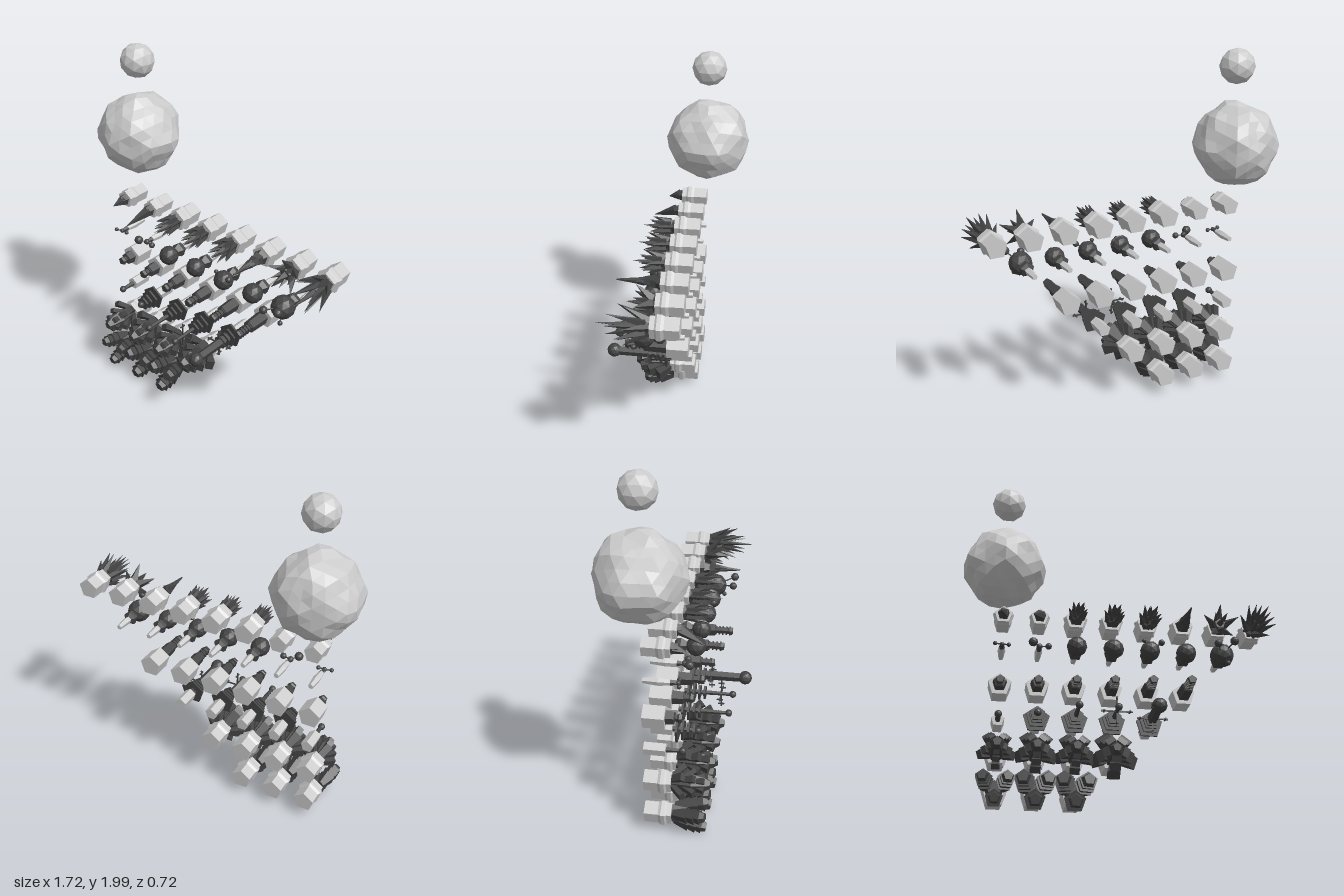
import * as THREE from 'three';

const grey = new THREE.MeshStandardMaterial({ color: 0xcccccc, flatShading: true });
const dark = new THREE.MeshStandardMaterial({ color: 0x444444, flatShading: true });
const TAU = Math.PI * 2;

function add(parent, name, geometry, material) {
  const mesh = new THREE.Mesh(geometry, material);
  mesh.name = name;
  parent.add(mesh);
  return mesh;
}

// Five-sided frustum along z, one corner up
function frustum(r0, r1, z0, z1, sides = 5) {
  const g = new THREE.CylinderGeometry(r1, r0, z1 - z0, sides, 1, false, Math.PI);
  return g.rotateX(Math.PI / 2).translate(0, 0, (z0 + z1) / 2);
}

// Stack of frustums through [radius, z] pairs
function stack(parent, name, material, profile) {
  for (let i = 1; i < profile.length; i++) {
    const [[r0, z0], [r1, z1]] = [profile[i - 1], profile[i]];
    if (z1 > z0) add(parent, name, frustum(r0, r1, z0, z1), material);
  }
}

function ball(parent, name, x, y, z, r, detail = 1) {
  add(parent, name, new THREE.IcosahedronGeometry(r, detail).translate(x, y, z), dark);
}

// Ring of spikes leaning outward from the z axis
function spikeRing(parent, count, start, tilt, ringR, z, r, length) {
  for (let i = 0; i < count; i++) {
    const g = frustum(r, 0.001, 0, length, 4);
    g.rotateY(tilt).translate(ringR, 0, z).rotateZ(start + (i * TAU) / count);
    add(parent, 'spike', g, dark);
  }
}

function collarBase(parent, s = 1) {
  stack(parent, 'base', grey, [[0.06 * s, -0.11], [0.06 * s, -0.035], [0.07 * s, -0.02],
    [0.07 * s, 0], [0.06 * s, 0.01], [0.06 * s, 0.035]]);
}

// Thin rod between two points
function rod(parent, a, b, r) {
  const path = new THREE.LineCurve3(new THREE.Vector3(...a), new THREE.Vector3(...b));
  add(parent, 'rod', new THREE.TubeGeometry(path, 1, r, 5), dark);
}

// Row of thorned pods
function thornPod(g, i) {
  collarBase(g, i < 2 ? 0.85 : 1);
  const up = Math.PI / 2;
  if (i < 2) {
    // Bent horn
    const len = i ? 0.15 : 0.07;
    add(g, 'hornRoot', frustum(0.035, 0.025, 0.03, 0.07), dark);
    const horn = frustum(0.033, 0.002, 0, len).rotateY(i ? 0.5 : 0.3).rotateZ(up * 2.6);
    add(g, 'horn', horn.translate(0, 0, 0.05), dark);
  } else if (i === 5) {
    // Twisted single horn of overlapping cones
    for (let k = 0; k < 5; k++) {
      const cone = frustum(0.046 - k * 0.007, 0.004, 0.03 + k * 0.03, 0.12 + k * 0.036);
      add(g, 'hornLayer', cone.rotateZ(k * 0.35), dark);
    }
  } else if (i === 6) {
    // Five wide thorns with a short crown
    add(g, 'core', frustum(0.05, 0.03, 0.03, 0.1), dark);
    spikeRing(g, 5, up, 0.8, 0.02, 0.05, 0.03, 0.115);
    spikeRing(g, 5, -up, 0.4, 0.02, 0.06, 0.022, 0.09);
    spikeRing(g, 1, 0, 0, 0, 0.06, 0.03, 0.12);
  } else {
    // Layered leaf-like thorns
    const s = { 2: 0.62, 3: 0.68, 4: 0.78, 7: 1 }[i];
    const len = i === 7 ? 1 : 0.7;
    add(g, 'core', frustum(0.045, 0.02, 0.03, 0.03 + 0.1 * len), dark);
    spikeRing(g, 5, up, 0.5 * s + 0.05, 0.028 * s, 0.04, 0.024, 0.14 * len);
    spikeRing(g, 5, -up, 0.36 * s + 0.05, 0.035 * s, 0.06, 0.024, 0.15 * len);
    spikeRing(g, 5, up, 0.2, 0.02 * s, 0.09 * len, 0.02, 0.16 * len);
    spikeRing(g, 1, 0, 0, 0, 0.1 * len, 0.02, 0.2 * len);
  }
}

// Row of orbs on slim stems, with small satellites [x, y, z, radius]
const SATELLITES = [
  [[-0.037, 0, 0.08, 0.012], [0.035, 0, 0.07, 0.012]],
  [[-0.035, 0.012, 0.1, 0.025], [0.048, 0, 0.08, 0.018]],
  [], [],
  [[0.058, 0.04, 0.13, 0.018], [-0.035, 0.05, 0.12, 0.012]],
  [],
  [[0.045, 0.04, 0.21, 0.024], [-0.045, 0.02, 0.21, 0.022], [0.02, -0.065, 0.15, 0.014]],
];
function orbPod(g, i) {
  const r = [0.013, 0.017, 0.055, 0.053, 0.055, 0.056, 0.066][i];
  const z = i < 2 ? 0.07 : 0.1;
  stack(g, 'stem', grey, [[0.015, -0.11], [0.022, -0.03], [0.016, 0.03]]);
  if (i > 1) {
    stack(g, 'stemCollar', dark, [[0.02, -0.015], [0.04, 0], [0.042, 0.02], [0.025, 0.05]]);
  } else add(g, 'stemTip', frustum(0.016, 0.008, 0.03, z), dark);
  ball(g, 'orb', 0, 0, z, r);
  if (i === 3) add(g, 'orbBand', new THREE.TorusGeometry(0.05, 0.007, 4, 10).translate(0, 0, z), dark);
  for (const [x, y, sz, sr] of SATELLITES[i]) {
    rod(g, [0, 0, z], [x, y, sz], 0.004);
    ball(g, 'satellite', x, y, sz, sr);
  }
}

// Row of stepped barrels
function barrelPod(g, i) {
  add(g, 'base', frustum(0.064, 0.064, -0.11, 0.005), grey);
  const end = 0.09 + i * 0.028;
  const mid = end * 0.55;
  stack(g, 'barrel', dark, [[0.04, 0], [0.035, mid], [0.02, mid + 0.005], [0.02, end - 0.025],
    [0.026, end - 0.015], [0.022, end]]);
  for (let k = 0; k < i; k++) {
    const z = mid + ((end - mid) * k) / i;
    add(g, 'barrelRing', frustum(0.028, 0.028, z, z + 0.008), dark);
  }
}

// Row of masts with discs, cross arms and a ball tip
function mastPod(g, i) {
  add(g, 'base', frustum(0.036, 0.036, -0.11, 0.005), grey);
  const end = [0.09, 0.14, 0.28, 0.28, 0.33][i];
  add(g, 'mast', frustum(i === 4 ? 0.03 : 0.016, i === 4 ? 0.026 : 0.01, 0, end), dark);
  ball(g, 'mastTip', 0, 0, end, i === 4 ? 0.04 : 0.02);
  if (i === 0) return;
  [0.073, 0.058, 0.045, 0.04].forEach((r, k) => {
    add(g, 'disc', frustum(r, r, 0.026 + k * 0.03, 0.038 + k * 0.03), dark);
  });
  if (i < 3) return;
  const z = i === 3 ? 0.215 : 0.135;
  for (let k = 0; k < 4; k++) {
    const a = (k * TAU) / 4;
    const arm = new THREE.BoxGeometry(0.082, 0.007, 0.007).translate(0.041, 0, z);
    add(g, 'crossArm', arm.rotateZ(a), dark);
    const tick = new THREE.BoxGeometry(0.007, 0.007, 0.035).translate(0.066, 0, z);
    add(g, 'armTick', tick.rotateZ(a), dark);
  }
}

// Row of flowers with flared petals in tiers
function petalPod(g, i) {
  collarBase(g);
  const s = [0.66, 0.85, 0.8, 1.05][i];
  stack(g, 'flowerCore', dark, [[0.04, 0.03], [0.055, 0.14], [0.04, 0.2], [0.022, 0.235]]);
  const tiers = [[0.06, 0.034, 0.03, 0.75], [0.045, 0.08, 0.026, 0.55], [0.03, 0.12, 0.022, 0.35]];
  for (const [ringR, z, r, tilt] of tiers) {
    for (let k = 0; k < 5; k++) {
      const petal = new THREE.CylinderGeometry(r * 1.5 * s, r * 0.8, 0.09, 4, 1, false, Math.PI / 4);
      petal.rotateX(Math.PI / 2).scale(0.7, 1, 1).translate(0, 0, 0.045).rotateY(tilt);
      petal.translate(ringR * s * 0.7, 0, z).rotateZ(-Math.PI / 2 + (k * TAU) / 5);
      add(g, 'petal', petal, dark);
    }
  }
}

// Row of triple cups, each a nest of flared bells
function cupPod(g, i) {
  collarBase(g);
  const s = [0.82, 0.98, 1][i];
  add(g, 'cupStem', frustum(0.05, 0.04, 0.03, 0.12), dark);
  for (let k = 0; k < 3; k++) {
    const cup = new THREE.Group();
    cup.name = 'cup';
    [[0.03, 0.056, 0, 0.08], [0.034, 0.056, 0.05, 0.12], [0.034, 0.05, 0.1, 0.15],
      [0.04, 0.03, 0.15, 0.175]].forEach(([r0, r1, z0, z1]) => {
      add(cup, 'cupTier', frustum(r0 * s, r1 * s, z0, z1), dark);
    });
    const a = -Math.PI / 2 + (k * TAU) / 3;
    const dir = new THREE.Vector3(Math.cos(a) * 0.2, Math.sin(a) * 0.2, 1).normalize();
    cup.position.set(Math.cos(a) * 0.04, Math.sin(a) * 0.04, 0.045);
    cup.quaternion.setFromUnitVectors(new THREE.Vector3(0, 0, 1), dir);
    g.add(cup);
  }
}

// Rocky globe: radius varied by a smooth rule
function rockyGlobe() {
  const geo = new THREE.IcosahedronGeometry(0.228, 3);
  const p = geo.attributes.position;
  const v = new THREE.Vector3();
  for (let i = 0; i < p.count; i++) {
    v.fromBufferAttribute(p, i);
    const n = Math.sin(v.x * 31 + 1) * Math.sin(v.y * 27 + 2) + Math.sin(v.z * 33 + v.x * 14) * 0.6;
    v.multiplyScalar(1 + 0.055 * n);
    p.setXYZ(i, v.x, v.y, v.z);
  }
  geo.computeVertexNormals();
  return geo.translate(-0.62, 1.48, -0.115);
}

export function createModel() {
  const model = new THREE.Group();
  model.name = 'podCollection';
  add(model, 'moon', new THREE.IcosahedronGeometry(0.097, 1).translate(-0.612, 1.904, -0.112), grey);
  add(model, 'planet', rockyGlobe(), grey);

  const rows = [['thornPod', thornPod, 8, 1.11], ['orbPod', orbPod, 7, 0.915],
    ['barrelPod', barrelPod, 6, 0.712], ['mastPod', mastPod, 5, 0.515],
    ['petalPod', petalPod, 4, 0.32], ['cupPod', cupPod, 3, 0.118]];
  for (const [name, build, count, y] of rows) {
    for (let i = 0; i < count; i++) {
      const pod = new THREE.Group();
      pod.name = name;
      pod.position.set(-0.612 + i * 0.198, y, 0);
      build(pod, i);
      model.add(pod);
    }
  }
  return model;
}
